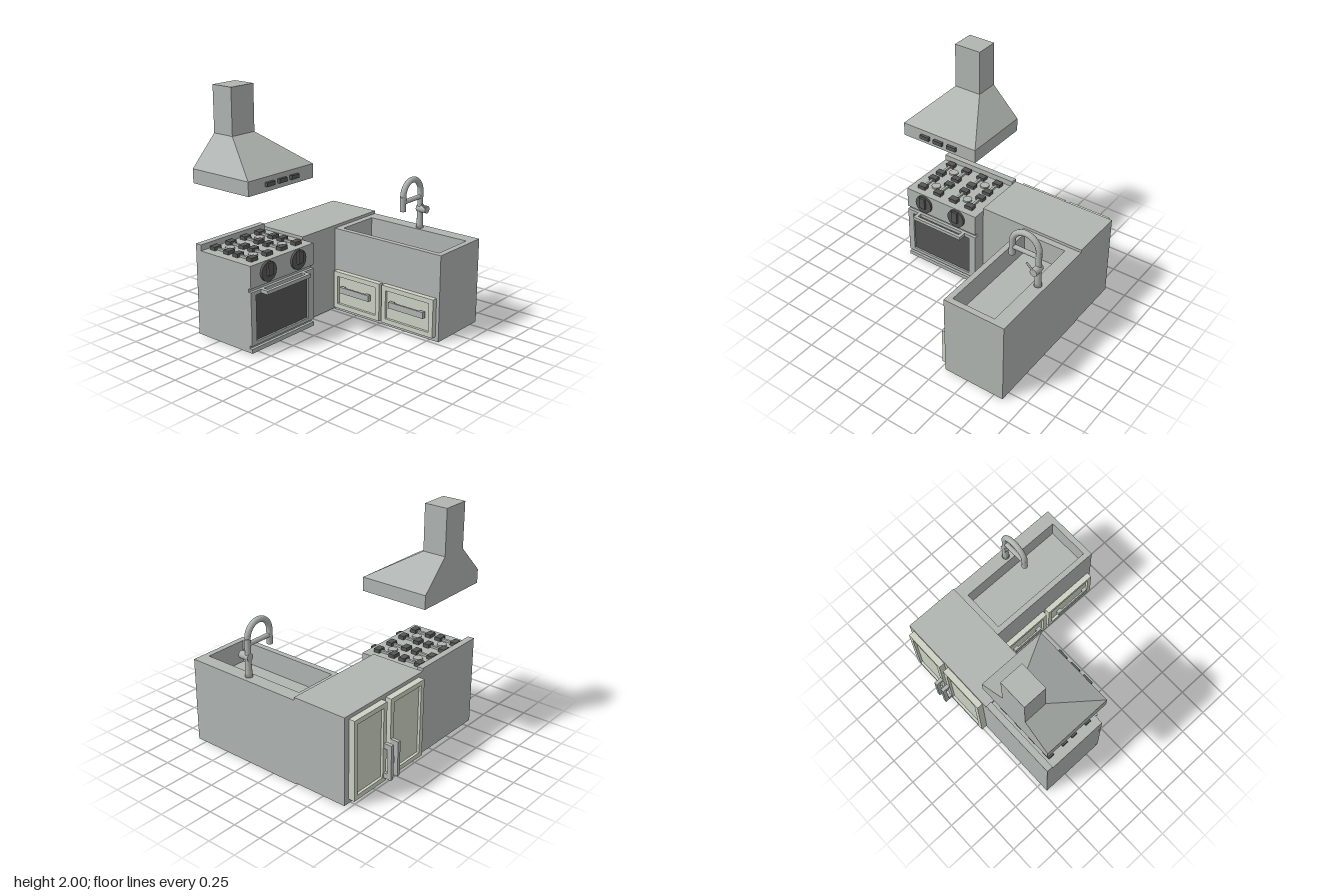
import * as THREE from 'three';

const mat = (name, color) => {
  const m = new THREE.MeshStandardMaterial({ color });
  m.name = name;
  return m;
};

export function createModel() {
  const steel = mat('steelGrey', 0xb0b5b2);
  const cream = mat('paleGreenDoor', 0xccd2c3);
  const dark = mat('charcoal', 0x555555);
  const model = new THREE.Group();
  model.name = 'kitchen';

  const group = (name, parent = model) => {
    const g = new THREE.Group();
    g.name = name;
    parent.add(g);
    return g;
  };
  const mesh = (parent, name, geo, material) => {
    const m = new THREE.Mesh(geo, material);
    m.name = name;
    parent.add(m);
    return m;
  };
  // Box given by its limits on each axis
  const box = (parent, name, material, x0, x1, y0, y1, z0, z1) => {
    const g = new THREE.BoxGeometry(x1 - x0, y1 - y0, z1 - z0);
    g.translate((x0 + x1) / 2, (y0 + y1) / 2, (z0 + z1) / 2);
    return mesh(parent, name, g, material);
  };
  // Rectangular plate with rectangular holes, extruded along +z
  const rect = (P, x0, x1, y0, y1) => {
    const p = new P();
    p.moveTo(x0, y0).lineTo(x1, y0).lineTo(x1, y1).lineTo(x0, y1).closePath();
    return p;
  };
  const plate = (outer, holes, depth) => {
    const s = rect(THREE.Shape, ...outer);
    s.holes = holes.map(h => rect(THREE.Path, ...h));
    return new THREE.ExtrudeGeometry(s, { depth, bevelEnabled: false });
  };
  // The same plate lying flat, hanging down from yTop (limits in x and z)
  const slab = (outer, holes, yTop, depth) =>
    plate(outer, holes, depth).rotateX(Math.PI / 2).translate(0, yTop, 0);

  // ---- Stove ----
  const stove = group('stove');
  const X0 = -0.83, X1 = -0.115, F = -0.12;
  box(stove, 'stoveBody', steel, X0, X1, 0.01, 0.725, -0.715, -0.145);
  box(stove, 'backGuard', steel, X0, X1, 0.725, 0.775, -0.715, -0.66);
  box(stove, 'controlPanel', steel, X0, X1, 0.54, 0.725, -0.145, F);
  box(stove, 'kickPanel', steel, X0, X1, 0.01, 0.045, -0.145, F);
  mesh(stove, 'ovenDoor', plate([X0, X1, 0.07, 0.51], [[-0.775, -0.18, 0.1, 0.478]], 0.025), steel)
    .position.z = -0.145;
  box(stove, 'ovenWindow', dark, -0.775, -0.18, 0.1, 0.478, -0.145, -0.136);
  box(stove, 'ovenHandleBar', steel, -0.72, -0.225, 0.48, 0.51, -0.078, -0.05);
  for (const x of [-0.72, -0.255])
    box(stove, 'ovenHandlePost', steel, x, x + 0.03, 0.48, 0.51, F, -0.078);
  for (const x of [-0.645, -0.305]) {
    const disc = new THREE.CylinderGeometry(0.082, 0.082, 0.02, 20);
    disc.rotateX(Math.PI / 2).translate(x, 0.638, F + 0.01);
    mesh(stove, 'knobDisc', disc, dark);
    box(stove, 'knobGrip', dark, x - 0.028, x + 0.028, 0.61, 0.712, F + 0.02, -0.08);
  }
  // Burners: four dark feet around a grey cap with thin cross bars
  for (const x of [-0.64, -0.31]) for (const z of [-0.28, -0.53]) {
    const burner = group('burner', stove);
    burner.position.set(x, 0.725, z);
    const cap = new THREE.CylinderGeometry(0.04, 0.04, 0.014, 12).translate(0, 0.007, 0);
    mesh(burner, 'burnerCap', cap, steel);
    for (const sx of [-1, 1]) {
      box(burner, 'grateBar', steel, sx * 0.083 - 0.01, sx * 0.083 + 0.01, 0, 0.018, -0.07, 0.07);
      for (const sz of [-1, 1])
        box(burner, 'grateFoot', dark, sx * 0.083 - 0.037, sx * 0.083 + 0.037, 0, 0.03,
          sz * 0.075 - 0.027, sz * 0.075 + 0.027);
    }
  }

  // ---- Range hood ----
  const hood = group('rangeHood');
  const slots = [];
  for (let i = 0; i < 4; i++) for (const z of [-0.65, -0.39]) {
    const x = X0 + 0.075 + i * 0.15;
    slots.push([x, x + 0.115, z, z + 0.2]);
  }
  mesh(hood, 'hoodVentPlate', slab([X0, X1, -0.715, F], slots, 1.3, 0.035), steel);
  for (const [x0, x1, z0, z1] of slots)
    box(hood, 'ventFilter', dark, x0, x1, 1.292, 1.3, z0, z1);
  box(hood, 'hoodRim', steel, X0, X1, 1.3, 1.38, -0.715, F);
  const canopy = new THREE.BoxGeometry(1, 1, 1);
  const p = canopy.attributes.position;
  for (let i = 0; i < p.count; i++) {
    const top = p.getY(i) > 0, right = p.getX(i) > 0, front = p.getZ(i) > 0;
    p.setXYZ(i,
      top ? (right ? -0.355 : -0.595) : (right ? X1 : X0),
      top ? 1.62 : 1.38,
      front ? (top ? -0.515 : F) : -0.715);
  }
  canopy.computeVertexNormals();
  mesh(hood, 'hoodCanopy', canopy, steel);
  box(hood, 'chimney', steel, -0.595, -0.355, 1.62, 2, -0.715, -0.515);
  for (const x of [-0.608, -0.475, -0.34])
    box(hood, 'hoodButton', dark, x - 0.044, x + 0.044, 1.307, 1.34, F, -0.096);

  // ---- Counter and sink ----
  box(model, 'counter', steel, X1, 0.83, 0.01, 0.75, -0.715, -0.235);
  const sink = group('sinkUnit');
  box(sink, 'sinkBase', steel, 0.287, 0.83, 0, 0.535, -0.235, 0.835);
  mesh(sink, 'sinkBasin',
    slab([0.287, 0.83, -0.235, 0.835], [[0.335, 0.715, -0.18, 0.785]], 0.725, 0.19), steel);

  // ---- Cabinet doors: framed front with a recessed panel, facing local +z ----
  const door = (name, w, h, t) => {
    const g = group(name), b = 0.04, x = w / 2, y = h / 2;
    mesh(g, 'doorFrame', plate([-x, x, -y, y], [[-x + b, x - b, -y + b, y - b]], t), cream);
    box(g, 'doorPanel', cream, -x + b, x - b, -y + b, y - b, 0, t - 0.022);
    return g;
  };
  // U-shaped pull of given length, upright, starting at depth z
  const pull = (parent, x, y, z, len, wide, deep, bar) => {
    const g = group('handle', parent), a = wide / 2, l = len / 2;
    g.position.set(x, y, z);
    box(g, 'handleBar', steel, -a, a, -l, l, deep - bar, deep);
    for (const s of [-1, 1])
      box(g, 'handlePost', steel, -a, a, s * (l - 0.022) - 0.022, s * (l - 0.022) + 0.022, 0, deep - bar);
    return g;
  };
  for (const [x, hx] of [[0.143, 0.335], [0.59, 0.416]]) {
    const d = door('backDoor', x < 0.3 ? 0.42 : 0.38, 0.675, 0.053);
    d.position.set(x, 0.382, -0.715);
    d.rotation.y = Math.PI;
    pull(d, x - hx, -0.152, 0.053, 0.3, 0.03, 0.07, 0.036);
  }
  for (const [z0, z1, hz, len] of [[-0.205, 0.275, 0.035, 0.305], [0.3, 0.807, 0.563, 0.34]]) {
    const d = door('sideDrawer', z1 - z0, 0.325, 0.047);
    d.position.set(0.287, 0.203, (z0 + z1) / 2);
    d.rotation.y = -Math.PI / 2;
    pull(d, hz - (z0 + z1) / 2, 0.02, 0.047, len, 0.053, 0.03, 0.015).rotation.z = Math.PI / 2;
  }

  // ---- Faucet ----
  const faucet = group('faucet');
  faucet.position.set(0.765, 0, 0.29);
  const stem = new THREE.LatheGeometry([
    [0, 0.725], [0.032, 0.725], [0.028, 0.76], [0.024, 0.85], [0.024, 0.96], [0.024, 1.04],
  ].map(([r, y]) => new THREE.Vector2(r, y)), 14);
  mesh(faucet, 'faucetStem', stem, steel);
  const arc = [];
  for (let i = 0; i <= 12; i++) {
    const a = Math.PI * i / 12;
    arc.push(new THREE.Vector3(-0.12 + 0.12 * Math.cos(a), 1.04 + 0.122 * Math.sin(a), 0));
  }
  const spout = new THREE.TubeGeometry(new THREE.CatmullRomCurve3(arc), 24, 0.025, 12);
  mesh(faucet, 'faucetArch', spout, steel);
  const nozzle = new THREE.CylinderGeometry(0.025, 0.026, 0.12, 12).translate(-0.24, 0.98, 0);
  mesh(faucet, 'nozzle', nozzle, steel);
  const brace = new THREE.CylinderGeometry(0.02, 0.02, 0.22, 10);
  brace.rotateZ(Math.PI / 2).translate(-0.12, 0.995, 0);
  mesh(faucet, 'brace', brace, steel);
  const valve = new THREE.CylinderGeometry(0.032, 0.032, 0.095, 12);
  valve.rotateX(Math.PI / 2).translate(0, 0.892, 0.025);
  mesh(faucet, 'valve', valve, steel);
  const lever = new THREE.CylinderGeometry(0.008, 0.008, 0.09, 8);
  lever.rotateZ(0.85).translate(-0.035, 0.927, 0.064);
  mesh(faucet, 'lever', lever, steel);

  return model;
}
